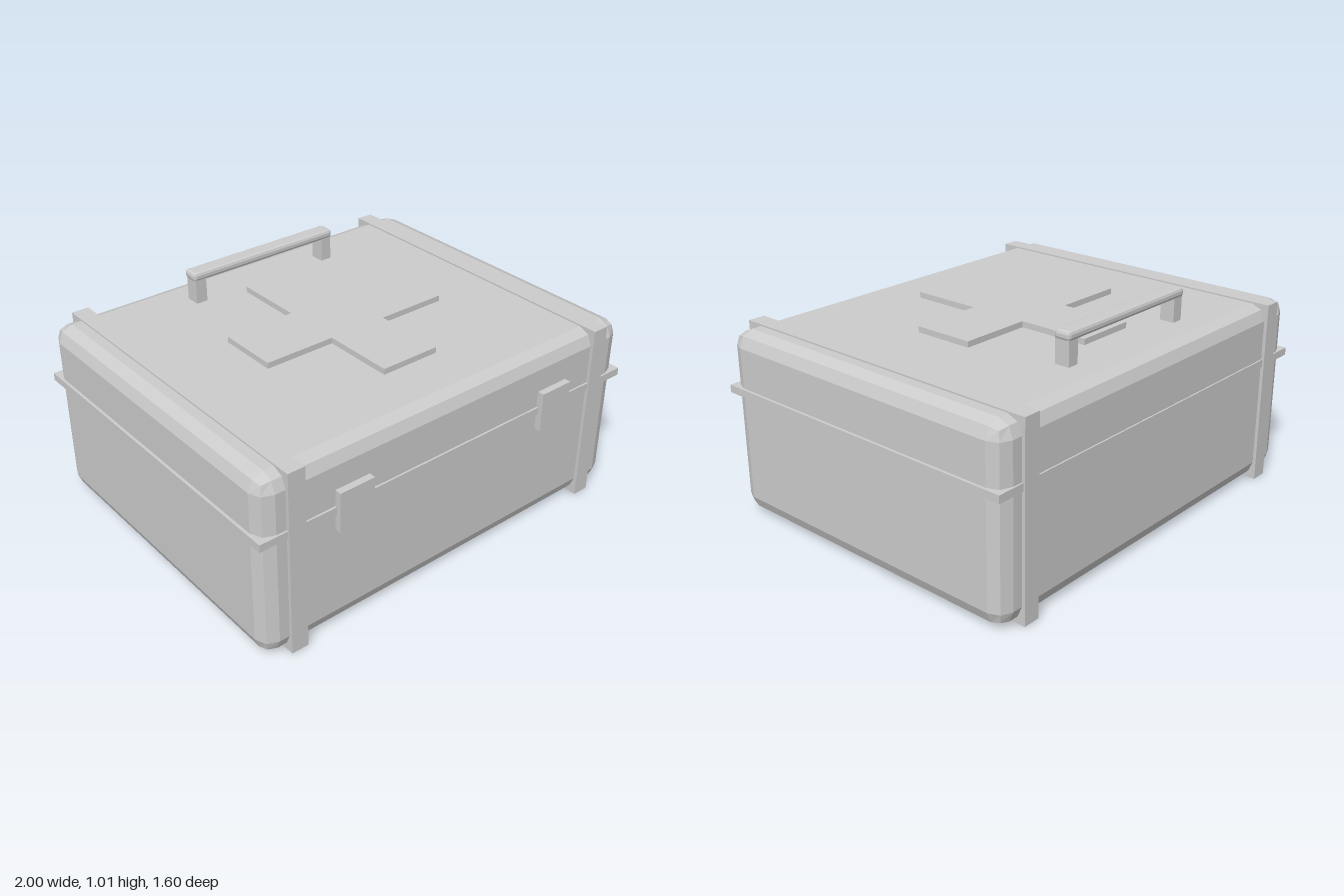
import * as THREE from 'three';
import { RoundedBoxGeometry } from 'three/addons/geometries/RoundedBoxGeometry.js';

const material = new THREE.MeshStandardMaterial({ color: 0xcccccc, flatShading: true });

export function createModel() {
  const group = new THREE.Group();

  function add(name, geometry, x, y, z) {
    const mesh = new THREE.Mesh(geometry, material);
    mesh.name = name;
    mesh.position.set(x, y, z);
    group.add(mesh);
    return mesh;
  }

  // Box given by its limits; a radius bevels the edges in two facets
  function block(name, [x0, x1], [y0, y1], [z0, z1], radius = 0) {
    const size = [x1 - x0, y1 - y0, z1 - z0];
    const geometry = radius
      ? new RoundedBoxGeometry(...size, 1, radius)
      : new THREE.BoxGeometry(...size);
    return add(name, geometry, (x0 + x1) / 2, (y0 + y1) / 2, (z0 + z1) / 2);
  }

  // Case and the seam band between base and lid
  block('caseBody', [-0.987, 0.987], [0.012, 0.858], [-0.785, 0.769], 0.07);
  block('seamBand', [-1, 1], [0.57, 0.605], [-0.792, 0.778]);

  // Straps, latches and handle posts, mirrored left and right
  for (const [side, s] of [['left', 1], ['right', -1]]) {
    const span = (a, b) => (s > 0 ? [a, b] : [-b, -a]);
    block(side + 'Strap', span(0.79, 0.87), [0, 0.865], [-0.8, 0.784]);
    block(side + 'Latch', span(0.47, 0.64), [0.495, 0.68], [0.75, 0.8]);
    block(side + 'HandlePost', span(0.33, 0.385), [0.85, 0.975], [-0.602, -0.532]);
  }

  // Handle grip
  block('handleGrip', [-0.393, 0.393], [0.964, 1.006], [-0.608, -0.529], 0.014);

  // Raised cross on the lid
  const a = 0.143, r = 0.48;
  const cross = new THREE.Shape([
    [a, r], [-a, r], [-a, a], [-r, a], [-r, -a], [-a, -a],
    [-a, -r], [a, -r], [a, -a], [r, -a], [r, a], [a, a],
  ].map(([x, y]) => new THREE.Vector2(x, y)));
  const crossGeometry = new THREE.ExtrudeGeometry(cross, { depth: 0.035, bevelEnabled: false });
  crossGeometry.rotateX(-Math.PI / 2);
  add('lidCross', crossGeometry, 0, 0.85, -0.008);

  return group;
}
